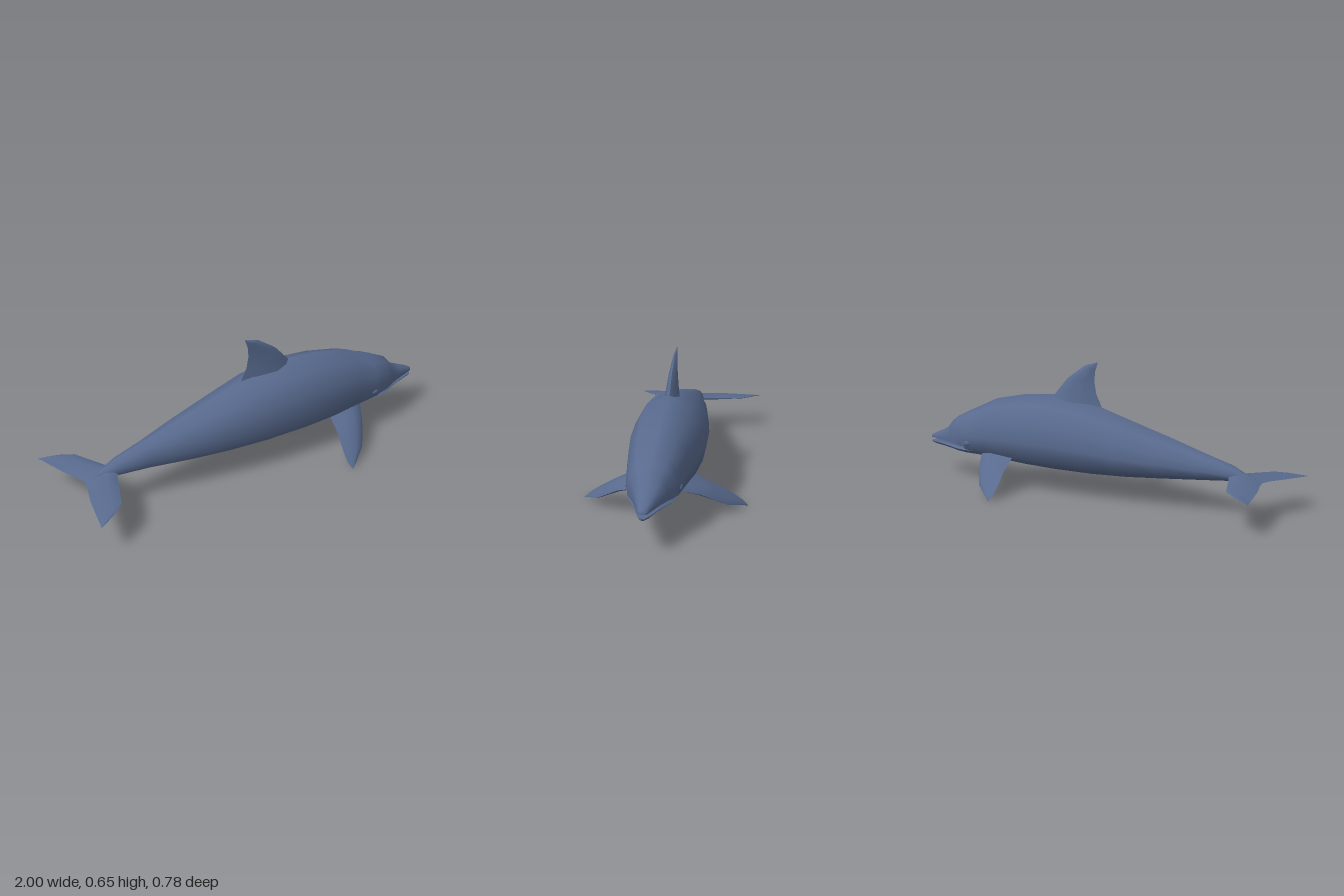
import * as THREE from 'three';
import { toCreasedNormals } from 'three/addons/utils/BufferGeometryUtils.js';

// Skins a list of equally long closed rings and caps both ends
function loft(rings, crease = 1.0) {
  const n = rings[0].length, pos = [], idx = [];
  rings.forEach(r => r.forEach(p => pos.push(...p)));
  for (let i = 0; i < rings.length - 1; i++) {
    for (let j = 0; j < n; j++) {
      const a = i * n + j, b = i * n + (j + 1) % n;
      idx.push(a, b, b + n, a, b + n, a + n);
    }
  }
  const last = (rings.length - 1) * n;
  for (let j = 1; j < n - 1; j++) {
    idx.push(0, j + 1, j, last, last + j, last + j + 1);
  }
  // Signed volume decides whether faces must be turned outward
  const v = i => new THREE.Vector3().fromArray(pos, i * 3);
  let volume = 0;
  for (let i = 0; i < idx.length; i += 3) {
    volume += v(idx[i]).dot(v(idx[i + 1]).cross(v(idx[i + 2])));
  }
  if (volume < 0) idx.reverse();
  const g = new THREE.BufferGeometry();
  g.setAttribute('position', new THREE.Float32BufferAttribute(pos, 3));
  g.setIndex(idx);
  return toCreasedNormals(g, crease);
}

// Half cross-sections, top to bottom: [width fraction, height fraction]
const TRUNK = [[0, 1], [0.63, 0.885], [0.93, 0.63], [1, 0.4], [0.91, 0.18], [0.62, 0.1], [0, 0]];
const UPPER = [[0, 1], [0.6, 0.885], [0.9, 0.63], [1, 0.3], [0.98, 0.04], [0.6, 0], [0, 0.02]];
const LOWER = [[0, 1], [0.6, 1], [0.96, 0.98], [1, 0.85], [0.78, 0.45], [0.4, 0.18], [0, 0]];

// Station: x, top, bottom, half width
function bodyRing([x, top, bottom, w], section) {
  const half = section.map(([u, f]) => [x, bottom + (top - bottom) * f, u * w]);
  const other = half.slice(1, -1).reverse().map(([a, b, c]) => [a, b, -c]);
  return [...half, ...other];
}

// Fin station: leading point, trailing point, half thickness along a normal
function fin(stations, normal, side = 1) {
  const chord = [[0, 0], [0.12, 0.6], [0.35, 1], [0.7, 0.55], [1, 0], [0.7, -0.55], [0.35, -1], [0.12, -0.6]];
  return loft(stations.map(([lead, trail, t]) => chord.map(([f, h]) => {
    const p = lead.map((c, k) => c + (trail[k] - c) * f + normal[k] * h * t);
    return [p[0], p[1], p[2] * side];
  })), 1.3);
}

export function createModel() {
  const group = new THREE.Group();
  const skin = new THREE.MeshStandardMaterial({ color: 0x586a8e });
  skin.name = 'blue grey skin';
  const add = (name, geometry) => {
    const mesh = new THREE.Mesh(geometry, skin);
    mesh.name = name;
    group.add(mesh);
    return mesh;
  };

  // Trunk with the head and upper jaw
  const trunk = [
    [-0.88, 0.18, 0.165, 0.008], [-0.82, 0.205, 0.163, 0.025], [-0.75, 0.237, 0.157, 0.042],
    [-0.6, 0.28, 0.143, 0.062], [-0.4, 0.338, 0.125, 0.106], [-0.2, 0.395, 0.108, 0.138],
    [0, 0.452, 0.099, 0.164], [0.22, 0.478, 0.098, 0.175], [0.4, 0.462, 0.103, 0.166],
    [0.57, 0.427, 0.113, 0.142], [0.7, 0.368, 0.123, 0.122],
  ];
  const snout = [
    [0.715, 0.362, 0.172, 0.118], [0.77, 0.336, 0.175, 0.106], [0.82, 0.312, 0.177, 0.082],
    [0.87, 0.256, 0.179, 0.06], [0.91, 0.236, 0.181, 0.047], [0.97, 0.21, 0.183, 0.027],
    [0.99, 0.2, 0.184, 0.02], [1, 0.193, 0.186, 0.008],
  ];
  add('body', loft([
    ...trunk.map(s => bodyRing(s, TRUNK)),
    ...snout.map(s => bodyRing(s, UPPER)),
  ]));

  // Lower jaw, leaving a narrow open mouth
  const jaw = [
    [0.64, 0.167, 0.122, 0.105], [0.71, 0.167, 0.124, 0.11], [0.77, 0.167, 0.129, 0.099],
    [0.82, 0.167, 0.135, 0.077], [0.88, 0.167, 0.14, 0.054], [0.97, 0.168, 0.148, 0.026],
    [0.99, 0.168, 0.153, 0.017], [0.997, 0.167, 0.158, 0.007],
  ];
  add('lowerJaw', loft(jaw.map(s => bodyRing(s, LOWER))));

  // Dorsal fin
  add('dorsalFin', fin([
    [[0.25, 0.44, 0], [-0.07, 0.41, 0], 0.04],
    [[0.19, 0.51, 0], [-0.025, 0.5, 0], 0.028],
    [[0.14, 0.566, 0], [-0.014, 0.56, 0], 0.02],
    [[0.04, 0.636, 0], [-0.018, 0.61, 0], 0.01],
    [[-0.03, 0.655, 0], [-0.034, 0.654, 0], 0.001],
  ], [0, 0, 1]));

  // Paired flippers, flukes and eyes
  for (const [name, side] of [['left', -1], ['right', 1]]) {
    add(name + 'Flipper', fin([
      [[0.6, 0.15, 0.1], [0.39, 0.18, 0.1], 0.024],
      [[0.548, 0.117, 0.19], [0.375, 0.135, 0.19], 0.024],
      [[0.52, 0.09, 0.235], [0.365, 0.107, 0.24], 0.02],
      [[0.465, 0.043, 0.305], [0.342, 0.055, 0.32], 0.013],
      [[0.4, 0.02, 0.355], [0.337, 0.025, 0.362], 0.007],
      [[0.35, 0.001, 0.39], [0.345, 0.002, 0.388], 0.001],
    ], [0, 0.83, 0.55], side));

    add(name + 'Fluke', fin([
      [[-0.74, 0.19, 0], [-0.915, 0.167, 0], 0.018],
      [[-0.775, 0.178, 0.06], [-0.93, 0.166, 0.06], 0.015],
      [[-0.808, 0.173, 0.14], [-0.958, 0.161, 0.14], 0.012],
      [[-0.85, 0.167, 0.24], [-0.98, 0.153, 0.24], 0.007],
      [[-0.915, 0.159, 0.29], [-0.99, 0.149, 0.29], 0.004],
      [[-0.997, 0.146, 0.33], [-1, 0.145, 0.33], 0.001],
    ], [0, 1, 0], side));

    const eye = add(name + 'Eye', new THREE.SphereGeometry(0.016, 10, 8));
    eye.scale.set(1.2, 0.8, 0.4);
    eye.position.set(0.68, 0.2, side * 0.122);
  }
  return group;
}
